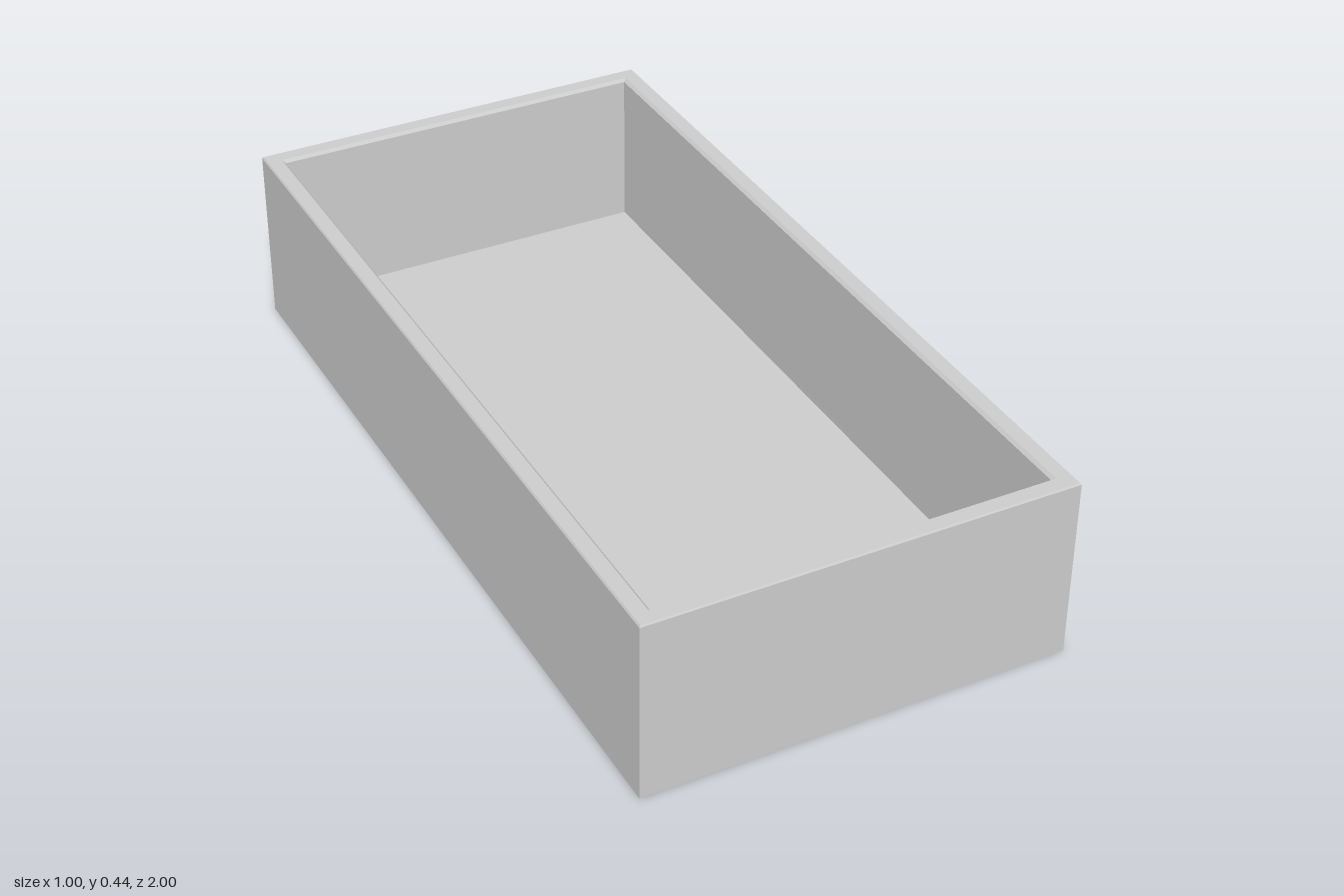
import * as THREE from 'three';

// Joins rectangular rings [halfWidth, halfDepth, y] into a flat-faced surface
function loftRectangles(rings) {
  const corners = [[1, 1], [1, -1], [-1, -1], [-1, 1]];
  const point = ([w, d, y], k) => [corners[k % 4][0] * w, y, corners[k % 4][1] * d];
  const positions = [];
  for (let i = 0; i < rings.length - 1; i++) {
    for (let k = 0; k < 4; k++) {
      const a = point(rings[i], k), b = point(rings[i], k + 1);
      const c = point(rings[i + 1], k + 1), d = point(rings[i + 1], k);
      // Skip the collapsed triangle where a cap closes to its centre
      if (rings[i][0] > 0) positions.push(...a, ...b, ...c);
      if (rings[i + 1][0] > 0) positions.push(...a, ...c, ...d);
    }
  }
  const geometry = new THREE.BufferGeometry();
  geometry.setAttribute('position', new THREE.Float32BufferAttribute(positions, 3));
  geometry.computeVertexNormals();
  return geometry;
}

export function createModel() {
  const group = new THREE.Group();
  group.name = 'openTray';
  const material = new THREE.MeshStandardMaterial({ color: 0xcccccc, flatShading: true });

  const height = 0.435, floor = 0.047;
  const add = (name, rings) => {
    const mesh = new THREE.Mesh(loftRectangles(rings), material);
    mesh.name = name;
    group.add(mesh);
  };

  // Underside and outer walls
  add('outerShell', [[0, 0, 0], [0.5, 1, 0], [0.5, 1, height - 0.004]]);
  // Rim with a fine chamfer on both edges
  add('rim', [
    [0.5, 1, height - 0.004],
    [0.497, 0.997, height],
    [0.463, 0.963, height],
    [0.456, 0.956, height - 0.007],
  ]);
  // Inner walls and floor
  add('innerShell', [[0.456, 0.956, height - 0.007], [0.456, 0.956, floor], [0, 0, floor]]);

  return group;
}
